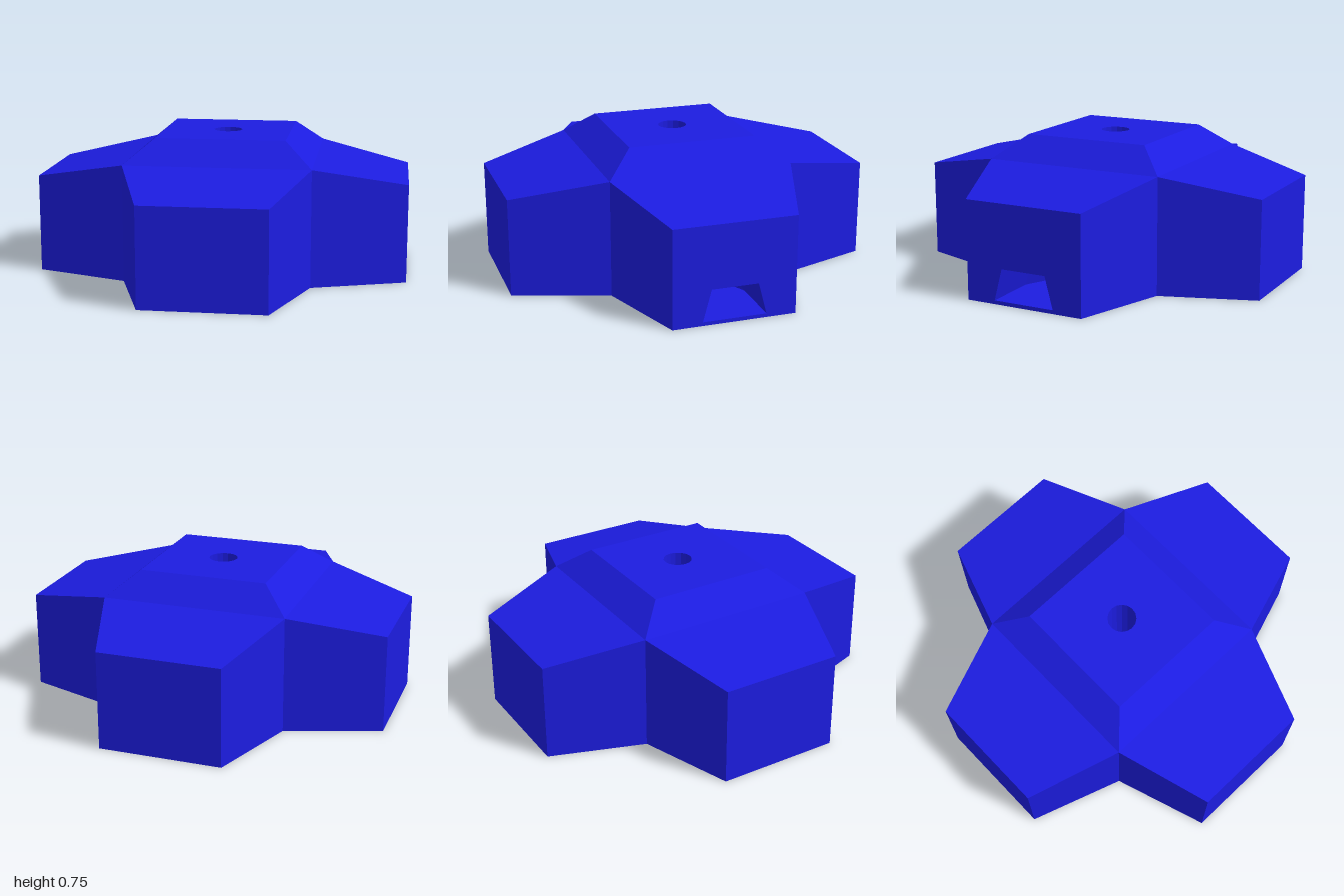
import * as THREE from 'three';

const blue = new THREE.MeshStandardMaterial({ color: 0x1c1ce0, flatShading: true });
const blueInside = blue.clone();
blueInside.side = THREE.DoubleSide;

// Flat-sided geometry from four-cornered faces, corners anticlockwise from outside
function quads(list) {
  const points = list.flatMap(([a, b, c, d]) => [a, b, c, a, c, d]);
  const geometry = new THREE.BufferGeometry();
  geometry.setAttribute('position', new THREE.Float32BufferAttribute(points.flat(), 3));
  geometry.computeVertexNormals();
  return geometry;
}

function polygon(points, holePoints) {
  const vectors = (list) => list.map(([x, y]) => new THREE.Vector2(x, y));
  const shape = new THREE.Shape(vectors(points));
  if (holePoints) shape.holes.push(new THREE.Path(vectors(holePoints)));
  return new THREE.ShapeGeometry(shape);
}

function add(parent, name, geometry, material = blue) {
  const mesh = new THREE.Mesh(geometry, material);
  mesh.name = name;
  parent.add(mesh);
  return mesh;
}

const CORE = 0.5, EAVE = 0.63;          // central block
const TOP = 0.35, HEIGHT = 0.755;       // raised roof
const END = 0.33, LOW = 0.53;           // outer end of each arm
const FLOOR = 0.02, CEILING = 0.19;     // passage
const MOUTH_LOW = 0.17, MOUTH_HIGH = 0.125, TUNNEL = 0.07, SHAFT = 0.078;

// One tapering arm, pointing along +z
function makeArm(hasMouth) {
  const arm = new THREE.Group();
  arm.name = 'arm';
  add(arm, 'armShell', quads([
    [[-CORE, EAVE, CORE], [-END, LOW, 1], [END, LOW, 1], [CORE, EAVE, CORE]],
    [[END, 0, 1], [CORE, 0, CORE], [CORE, EAVE, CORE], [END, LOW, 1]],
    [[-CORE, 0, CORE], [-END, 0, 1], [-END, LOW, 1], [-CORE, EAVE, CORE]],
    [[-CORE, 0, CORE], [CORE, 0, CORE], [END, 0, 1], [-END, 0, 1]],
  ]));
  const mouth = [[-MOUTH_LOW, FLOOR], [-MOUTH_HIGH, CEILING], [MOUTH_HIGH, CEILING], [MOUTH_LOW, FLOOR]];
  add(arm, 'endWall', polygon([[-END, 0], [END, 0], [END, LOW], [-END, LOW]], hasMouth && mouth)
    .translate(0, 0, 1));
  return arm;
}

// Passage from the mouth to below the shaft: half width low, half width high, z
function makePassage() {
  const rings = [
    [MOUTH_LOW, MOUTH_HIGH, 1], [MOUTH_LOW, MOUTH_HIGH, 0.7],
    [TUNNEL, TUNNEL, 0.5], [TUNNEL, TUNNEL, TUNNEL], [TUNNEL, TUNNEL, -TUNNEL],
  ].map(([low, high, z]) => [[-low, FLOOR, z], [low, FLOOR, z], [high, CEILING, z], [-high, CEILING, z]]);
  const faces = [rings[rings.length - 1]];
  for (let i = 0; i < rings.length - 1; i++) {
    for (let k = 0; k < 4; k++) {
      if (k === 2 && i === rings.length - 2) continue; // open under the shaft
      const n = (k + 1) % 4;
      faces.push([rings[i][k], rings[i][n], rings[i + 1][n], rings[i + 1][k]]);
    }
  }
  return quads(faces);
}

export function createModel() {
  const model = new THREE.Group();
  model.name = 'crossShapedBlock';

  // Four arms and four roof slopes around the core
  for (let i = 0; i < 4; i++) {
    const angle = i * Math.PI / 2;
    const arm = makeArm(i === 1);
    arm.rotation.y = angle;
    if (i === 1) add(arm, 'passage', makePassage(), blueInside);
    model.add(arm);
    add(model, 'roofSlope', quads([
      [[-TOP, HEIGHT, TOP], [-CORE, EAVE, CORE], [CORE, EAVE, CORE], [TOP, HEIGHT, TOP]],
    ])).rotation.y = angle;
  }

  // Flat roof with a round opening
  const circle = Array.from({ length: 16 }, (_, i) => {
    const a = -i * Math.PI / 8;
    return [SHAFT * Math.sin(a), SHAFT * Math.cos(a)];
  });
  add(model, 'flatRoof', polygon([[-TOP, -TOP], [TOP, -TOP], [TOP, TOP], [-TOP, TOP]], circle)
    .rotateX(-Math.PI / 2).translate(0, HEIGHT, 0));

  // Vertical shaft down to the passage
  const depth = HEIGHT - CEILING;
  add(model, 'shaft', new THREE.CylinderGeometry(SHAFT, SHAFT, depth, 16, 1, true)
    .translate(0, CEILING + depth / 2, 0), blueInside);

  // Underside of the core
  add(model, 'base', new THREE.PlaneGeometry(2 * CORE, 2 * CORE).rotateX(Math.PI / 2));
  return model;
}
